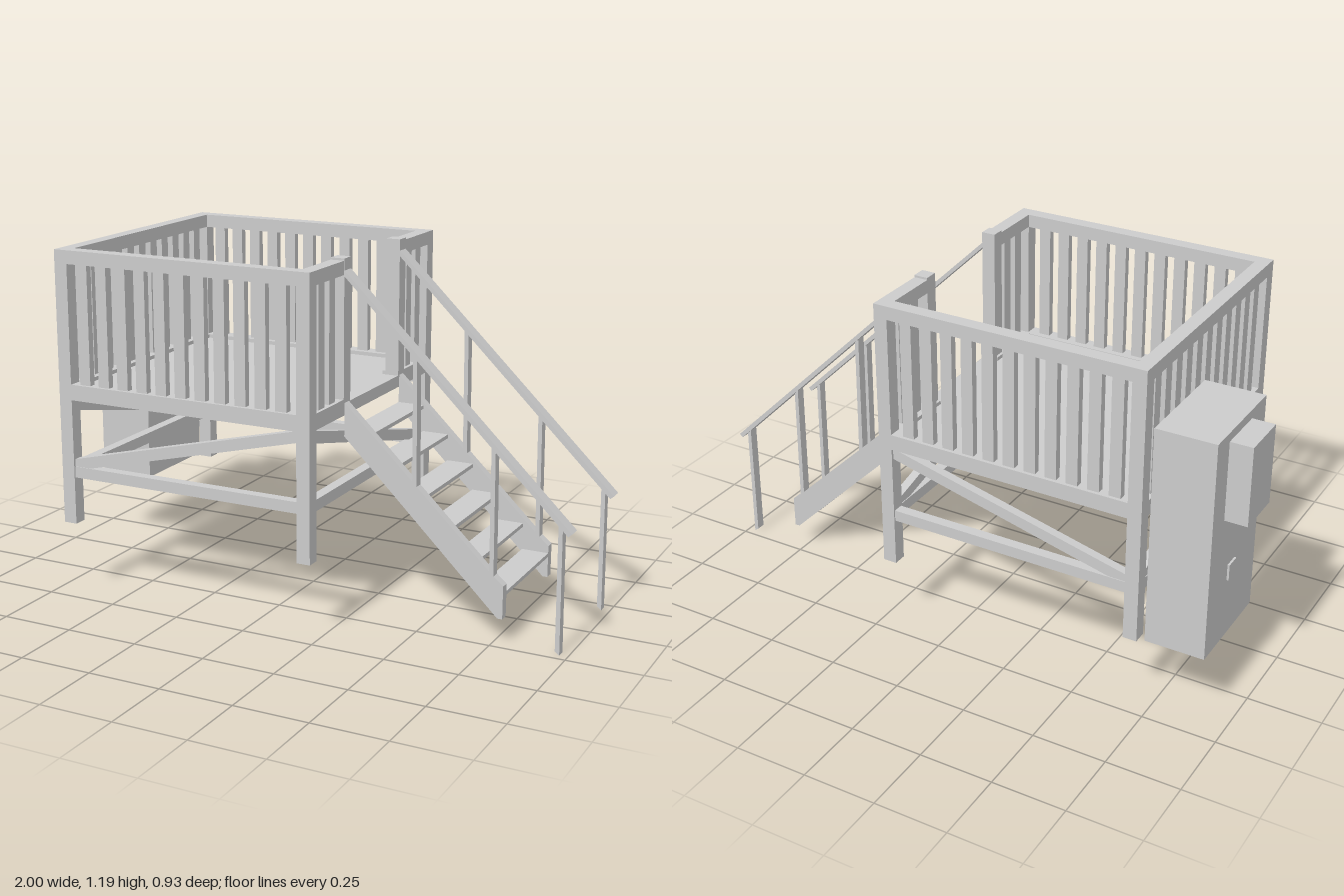
import * as THREE from 'three';

const material = new THREE.MeshStandardMaterial({ color: 0xcccccc, flatShading: true });

export function createModel() {
  const model = new THREE.Group();

  const add = (name, geometry, parent = model) => {
    const mesh = new THREE.Mesh(geometry, material);
    mesh.name = name;
    parent.add(mesh);
    return mesh;
  };
  // Box given by its limits on each axis
  const box = (name, x0, x1, y0, y1, z0, z1, parent) => {
    const mesh = add(name, new THREE.BoxGeometry(x1 - x0, y1 - y0, z1 - z0), parent);
    mesh.position.set((x0 + x1) / 2, (y0 + y1) / 2, (z0 + z1) / 2);
    return mesh;
  };
  // Side profile in x/y, extruded between two z values
  const slab = (name, points, z0, z1, parent) => {
    const shape = new THREE.Shape(points.map(([x, y]) => new THREE.Vector2(x, y)));
    const geometry = new THREE.ExtrudeGeometry(shape, { depth: z1 - z0, bevelEnabled: false });
    geometry.translate(0, 0, z0);
    return add(name, geometry, parent);
  };

  // Platform limits and timber size
  const X0 = -0.705, X1 = 0.227, Z = 0.467, T = 0.047;
  const CX = (X0 + X1) / 2;
  const pitch = 0.073;

  // Corner posts
  for (const x of [X0, X1 - T])
    for (const z of [-Z, Z - T]) box('cornerPost', x, x + T, 0.25, 1.18, z, z + T);

  // Deck floor
  box('deckFloor', X0 + T, X1 - T, 0.68, 0.72, -Z + T, Z - T);

  // Front and back walls
  for (const s of [-1, 1]) {
    const wall = new THREE.Group();
    wall.name = s > 0 ? 'frontWall' : 'backWall';
    model.add(wall);
    const c = s * (Z - T / 2);
    const a = X0 + T, b = X1 - T;
    box('topRail', a, b, 1.135, 1.18, c - T / 2, c + T / 2, wall);
    box('deckBeam', a, b, 0.68, 0.72, c - T / 2, c + T / 2, wall);
    box('bottomRail', a, b, 0.72, 0.733, c - T / 2 - (s > 0 ? 0.01 : 0), c + T / 2 + (s < 0 ? 0.01 : 0), wall);
    box('lowerRail', a, b, 0.412, 0.45, c - 0.018, c + 0.018, wall);
    slab('diagonalBrace', [[a, 0.44], [a + 0.06, 0.45], [b, 0.642], [b, 0.68], [a, 0.475]], c - 0.015, c + 0.015, wall);
    for (let i = -5; i <= 5; i++) {
      const x = CX - 0.005 + i * pitch;
      box('baluster', x - 0.02, x + 0.02, 0.733, 1.135, c - 0.012, c + 0.012, wall);
    }
  }

  // End walls; the one at the stairs has an opening
  const gate = 0.186;
  for (const s of [-1, 1]) {
    const wall = new THREE.Group();
    wall.name = s > 0 ? 'stairWall' : 'cabinetWall';
    model.add(wall);
    const c = s > 0 ? X1 - T / 2 : X0 + T / 2;
    const e = Z - T;
    const spans = s > 0 ? [[-e, -gate], [gate, e]] : [[-e, e]];
    for (const [a, b] of spans) {
      box('topRail', c - T / 2, c + T / 2, 1.135, 1.18, a, b, wall);
      box('bottomRail', c - T / 2 - (s > 0 ? 0.01 : 0), c + T / 2 + (s < 0 ? 0.01 : 0), 0.72, 0.733, a, b, wall);
    }
    box('deckBeam', c - T / 2, c + T / 2, 0.68, 0.72, -e, e, wall);
    box('lowerRail', c - 0.018, c + 0.018, 0.412, 0.45, -e, e, wall);
    // Profile runs along -z, high at the front
    const brace = slab('diagonalBrace', [[-e, 0.635], [e - 0.06, 0.45], [e, 0.44], [e, 0.473], [-e, 0.675]], -0.015, 0.015, wall);
    brace.rotation.y = Math.PI / 2;
    brace.position.x = c;
    for (let i = -5; i <= 5; i++) {
      const z = i * pitch;
      if (s > 0 && Math.abs(i) < 4) continue;
      box('baluster', c - 0.012, c + 0.012, 0.733, 1.135, z - 0.02, z + 0.02, wall);
    }
  }

  // Stairs
  const stairs = new THREE.Group();
  stairs.name = 'stairs';
  model.add(stairs);
  for (let i = 0; i < 6; i++) {
    const x = X1 + i * 0.0925, y = 0.626 - i * 0.0912;
    box('tread', x, x + 0.0925, y - 0.013, y, -0.196, 0.196, stairs);
  }
  const railY = (x) => 1.15 - (x - X1) * 0.968;
  for (const s of [-1, 1]) {
    const near = s > 0 ? 0.195 : -0.226, far = near + 0.031;
    const r0 = s > 0 ? gate : -gate - T, r1 = r0 + T;
    box('gatePost', X1 - T, X1 + 0.001, 0.68, 1.187, r0, r1, stairs);
    slab('stringer', [[X1, 0.61], [0.765, 0.085], [0.782, 0.085], [0.782, 0.195], [0.74, 0.23], [X1, 0.722]], near, far, stairs);
    slab('handrail', [[X1, 1.132], [0.988, 0.393], [1, 0.403], [X1, 1.15]], r0, r1, stairs);
    // Slightly leaning rail supports
    for (const [x, foot] of [[0.463, 0.48], [0.73, 0.21], [0.954, 0.012]])
      slab('railSupport', [[x + 0.004, foot], [x + 0.019, foot - 0.012], [x + 0.014, railY(x + 0.014) - 0.01], [x, railY(x) - 0.01]], near, far, stairs);
  }

  // Cabinet with a small box and a handle
  const cabinet = new THREE.Group();
  cabinet.name = 'cabinet';
  model.add(cabinet);
  box('cabinetBody', -0.925, -0.725, 0.25, 0.995, -0.45, -0.095, cabinet);
  box('sideBox', -1, -0.925, 0.7, 0.965, -0.365, -0.2, cabinet);
  box('handleStem', -0.932, -0.925, 0.46, 0.515, -0.312, -0.3, cabinet);
  box('handleLever', -0.932, -0.925, 0.503, 0.515, -0.3, -0.26, cabinet);

  return model;
}
